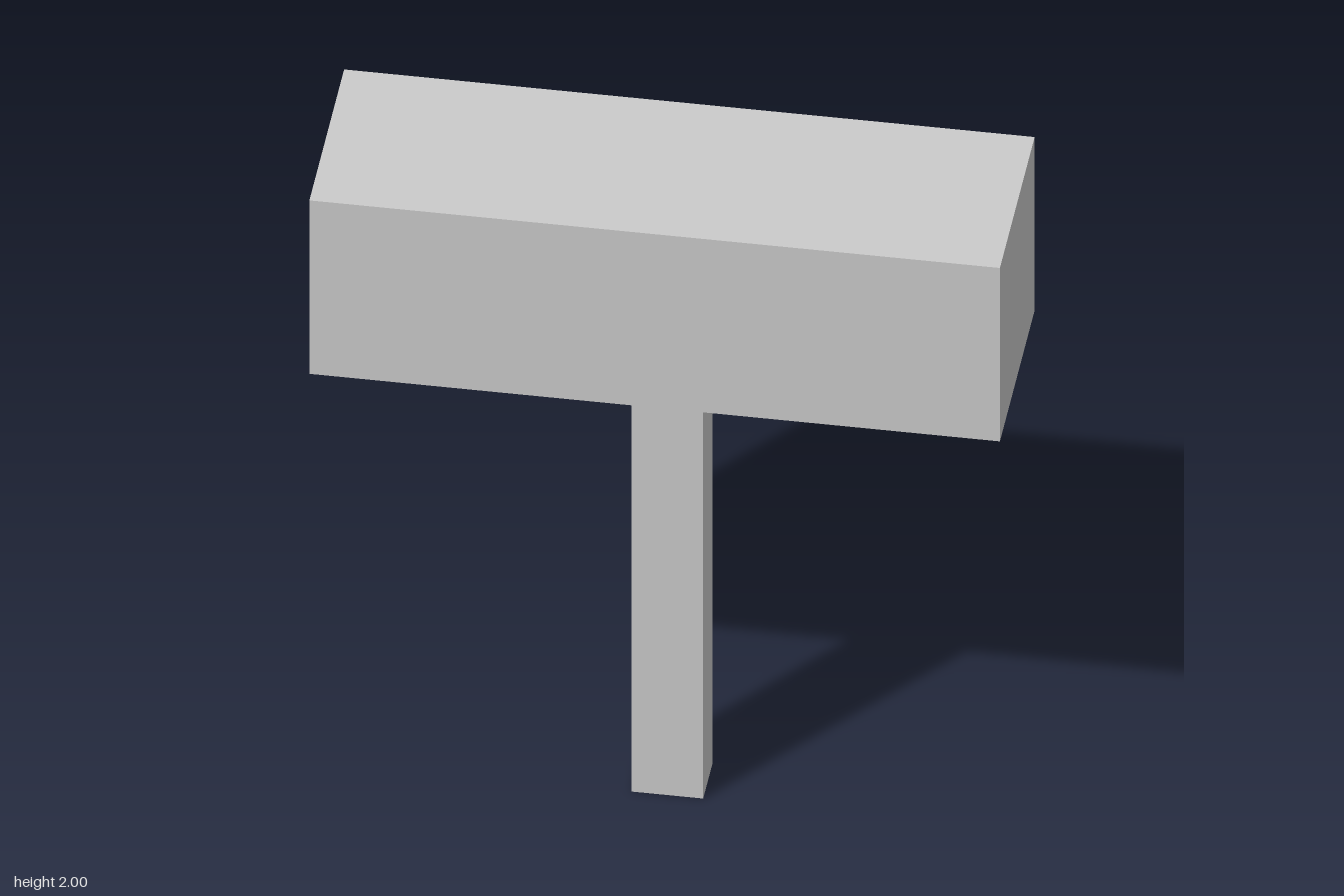
import * as THREE from 'three';

const material = new THREE.MeshStandardMaterial({ color: 0xcccccc, flatShading: true });

// Box standing on height y
function box(name, width, height, depth, y) {
  const mesh = new THREE.Mesh(new THREE.BoxGeometry(width, height, depth), material);
  mesh.name = name;
  mesh.position.y = y + height / 2;
  return mesh;
}

export function createModel() {
  const group = new THREE.Group();
  group.name = 'mallet';
  const handleHeight = 1.43;

  // Upright handle with the block-shaped head resting on its top
  group.add(box('handle', 0.19, handleHeight, 0.155, 0));
  group.add(box('head', 1.826, 2 - handleHeight, 0.57, handleHeight));
  return group;
}
